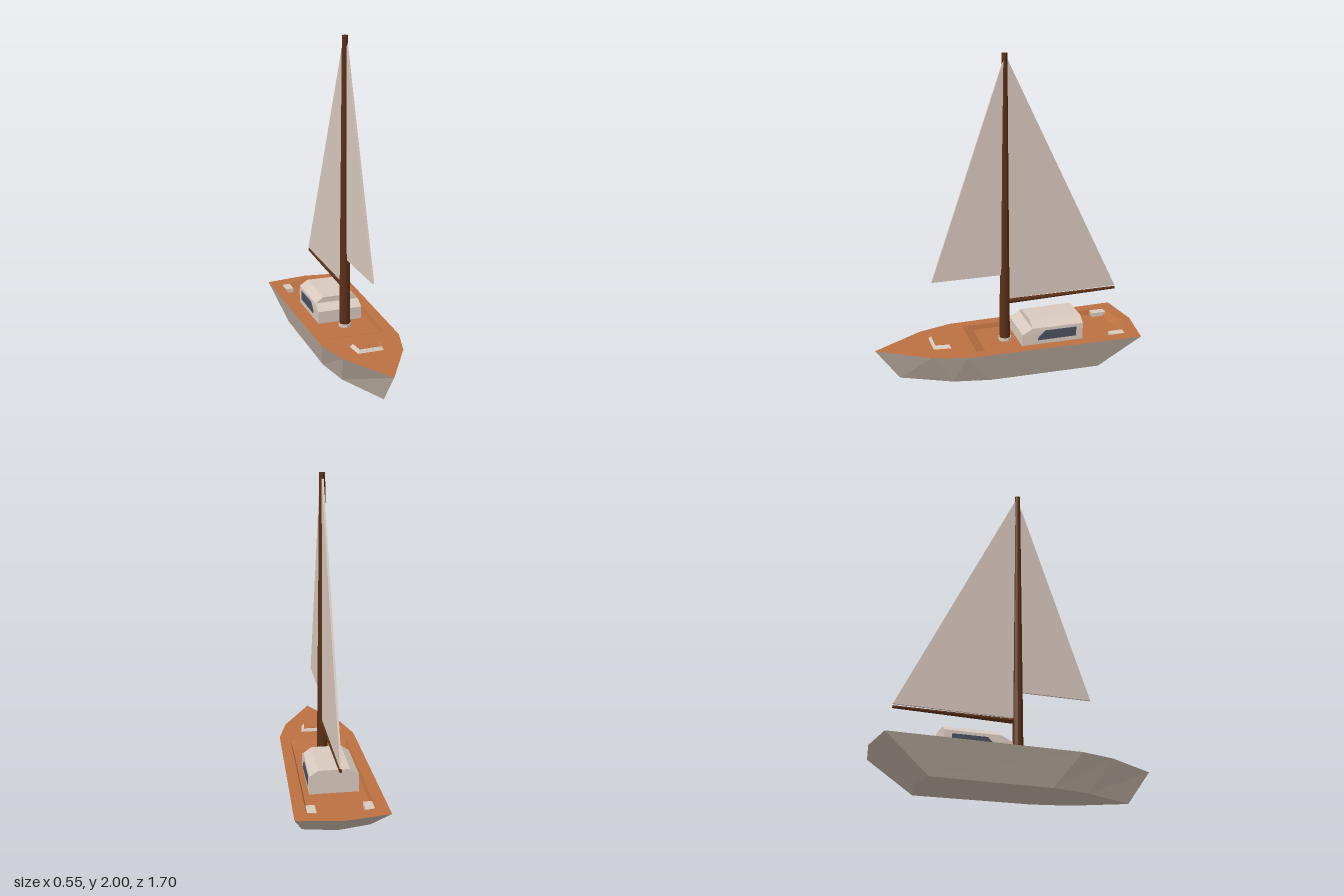
import * as THREE from 'three';

const paint = (color) => new THREE.MeshStandardMaterial({ color, flatShading: true });

// Mirrors a half outline of [x, z] points (bow to stern) into a closed ring at height y
function ring(y, half) {
  const other = half.slice(1, -1).reverse().map(([x, z]) => [-x, z]);
  return [...half, ...other].map(([x, z]) => [x, y, z]);
}
const boxRing = (y, w, front, back, wBack = w) => ring(y, [[0, front], [w, front], [wBack, back], [0, back]]);

// Flat-sided skin through a list of rings, with optional end caps
function loft(rings, capStart, capEnd) {
  const pos = [];
  const n = rings[0].length;
  const tri = (a, b, c) => pos.push(...a, ...b, ...c);
  for (let r = 0; r < rings.length - 1; r++) {
    for (let i = 0; i < n; i++) {
      const j = (i + 1) % n, lo = rings[r], hi = rings[r + 1];
      tri(lo[i], lo[j], hi[j]);
      tri(lo[i], hi[j], hi[i]);
    }
  }
  const cap = (pts, up) => {
    const c = [0, 1, 2].map((k) => pts.reduce((s, p) => s + p[k], 0) / n);
    pts.forEach((p, i) => {
      const q = pts[(i + 1) % n];
      if (up) tri(c, p, q); else tri(c, q, p);
    });
  };
  if (capStart) cap(rings[0], false);
  if (capEnd) cap(rings[rings.length - 1], true);
  const g = new THREE.BufferGeometry();
  g.setAttribute('position', new THREE.Float32BufferAttribute(pos, 3));
  g.computeVertexNormals();
  return g;
}

// Thin upright panel from [z, y] corners, centred on x = 0
function panel(points, thickness) {
  const shape = new THREE.Shape(points.map(([z, y]) => new THREE.Vector2(z, y)));
  const g = new THREE.ExtrudeGeometry(shape, { depth: thickness, bevelEnabled: false });
  return g.translate(0, 0, -thickness / 2).rotateY(-Math.PI / 2);
}

export function createModel() {
  const boat = new THREE.Group();
  boat.name = 'sailboat';
  const add = (name, geometry, material, x = 0, y = 0, z = 0) => {
    const mesh = new THREE.Mesh(geometry, material);
    mesh.name = name;
    mesh.position.set(x, y, z);
    boat.add(mesh);
    return mesh;
  };

  const hullPaint = paint(0xc0b2a5);
  const cream = paint(0xd8c8bd);
  const deckWood = paint(0xba7040);
  const darkWood = paint(0x5a2f17);
  const glass = paint(0x4a505e);

  // Hull with raked bow and transom
  const keel = [[0, 0.7], [0.145, 0.39], [0.19, 0.16], [0.205, -0.55], [0, -0.59]];
  const sheer = [[0, 0.848], [0.19, 0.53], [0.25, 0.32], [0.275, -0.81], [0, -0.85]];
  add('hull', loft([ring(0, keel), ring(0.205, sheer)], true, false), hullPaint);

  // Deck with a shallow sunken well
  const wellTop = [[0, 0.25], [0.1, 0.25], [0.185, 0.25], [0.2, -0.73], [0, -0.78]];
  const wellFloor = [[0, 0.18], [0.1, 0.18], [0.175, 0.18], [0.188, -0.7], [0, -0.74]];
  add('deck', loft([ring(0.205, sheer), ring(0.205, wellTop), ring(0.175, wellFloor)], false, true), deckWood);

  // Cabin with sloped front and chamfered roof
  add('cabin', loft([
    boxRing(0.17, 0.145, -0.06, -0.46, 0.15),
    boxRing(0.255, 0.145, -0.06, -0.46, 0.15),
    boxRing(0.29, 0.143, -0.125, -0.46, 0.148),
    boxRing(0.325, 0.092, -0.125, -0.46, 0.095),
  ], true, true), cream);

  // Side windows and stern seats
  const windowOutline = [[-0.16, 0.21], [-0.165, 0.228], [-0.21, 0.27], [-0.415, 0.27], [-0.415, 0.21]];
  for (const [side, s] of [['left', 1], ['right', -1]]) {
    add(side + 'Window', panel(windowOutline, 0.012), glass, s * 0.146);
    const seat = new THREE.BoxGeometry(0.052, 0.03, 0.095);
    add(side + 'SternSeat', seat, cream, s * 0.167, 0.188, -0.688);
  }

  // Foredeck hatch: pale sloped frame with a wooden lid
  const hatchTop = [0.067, 0.482, 0.397, 0.078];
  add('hatchFrame', loft([boxRing(0.2, 0.085, 0.5, 0.385, 0.1), boxRing(0.225, ...hatchTop)], false, true), cream);
  add('hatchLid', loft([boxRing(0.222, ...hatchTop), boxRing(0.227, ...hatchTop)], false, true), deckWood);

  // Mast and its collar
  add('mast', new THREE.CylinderGeometry(0.018, 0.035, 1.83, 10), darkWood, 0.005, 1.085, 0.017);
  add('mastCollar', new THREE.CylinderGeometry(0.041, 0.041, 0.02, 10), cream, 0.005, 0.185, 0.017);

  // Boom tapering aft
  const boom = new THREE.CylinderGeometry(0.009, 0.016, 0.73, 8).rotateX(-Math.PI / 2);
  add('boom', boom, darkWood, 0.005, 0.441, -0.363).rotation.x = 0.012;

  // Sails
  add('mainsail', panel([[0, 1.965], [-0.728, 0.462], [0, 0.455]], 0.012), cream, 0.004);
  add('jib', panel([[0.025, 1.965], [0.025, 0.625], [0.485, 0.625]], 0.012), cream, 0.013);

  return boat;
}
